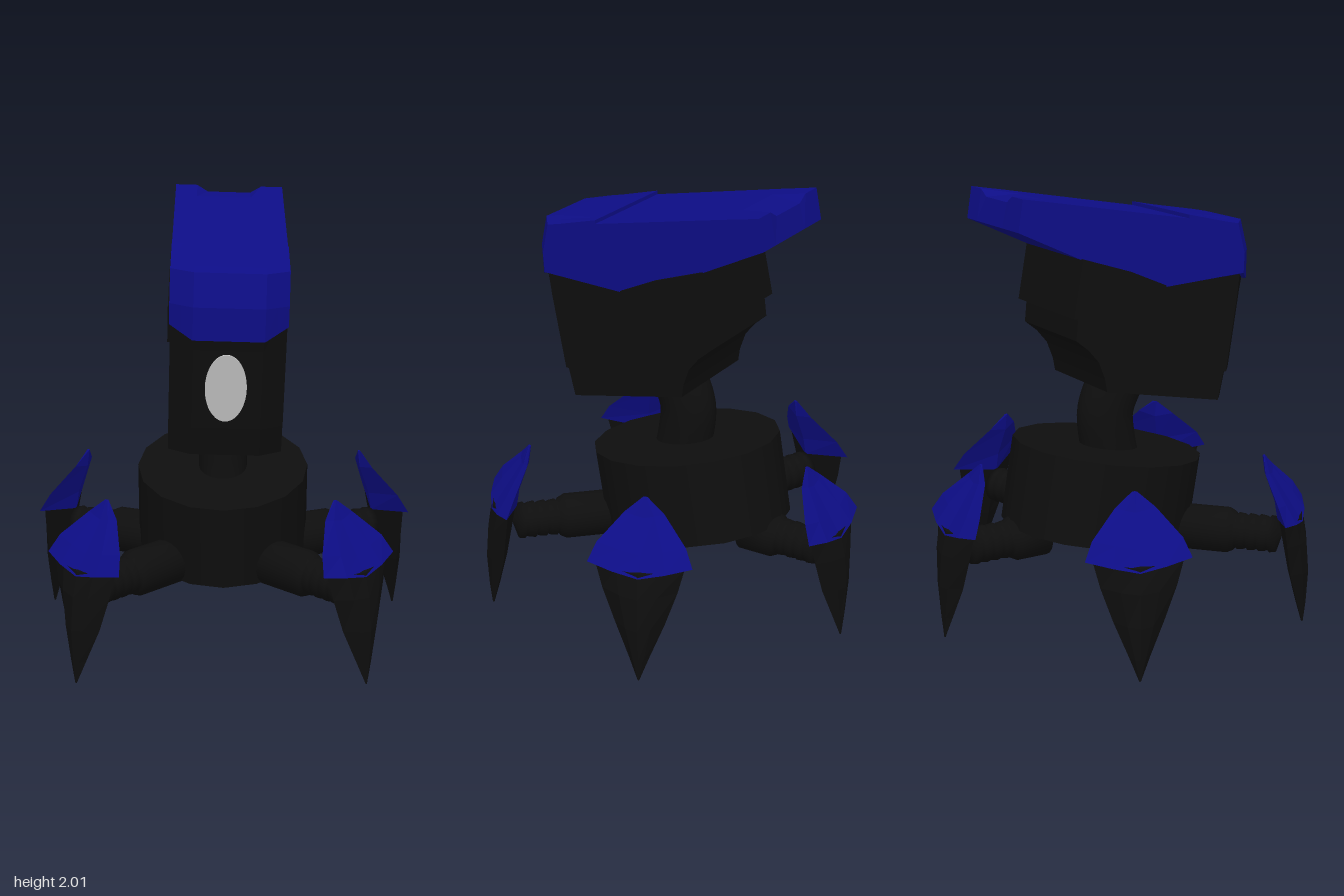
import * as THREE from 'three';

const black = new THREE.MeshStandardMaterial({ color: 0x0e0e0e });
const blue = new THREE.MeshStandardMaterial({ color: 0x0d0d86 });
const grey = new THREE.MeshStandardMaterial({ color: 0xc4c4c4 });
black.name = 'black';
blue.name = 'deep blue';
grey.name = 'light grey';

function part(name, geometry, material) {
  const mesh = new THREE.Mesh(geometry, material);
  mesh.name = name;
  return mesh;
}

// Side profile of [z, y] points, extruded across x; rule(v) may move each vertex
function slab(profile, halfWidth, steps, rule) {
  const shape = new THREE.Shape(profile.map(([z, y]) => new THREE.Vector2(z, y)));
  const g = new THREE.ExtrudeGeometry(shape, { depth: halfWidth * 2, steps, bevelEnabled: false });
  g.translate(0, 0, -halfWidth).rotateY(-Math.PI / 2);
  if (rule) {
    const p = g.attributes.position;
    const v = new THREE.Vector3();
    for (let i = 0; i < p.count; i++) {
      v.fromBufferAttribute(p, i);
      rule(v);
      p.setXYZ(i, v.x, v.y, v.z);
    }
  }
  g.computeVertexNormals();
  return g;
}

// Skin over six-sided sections [y, halfWidth, edgeZ, outerZ, innerZ], lowest first; bow raises the edges
function shell(sections, bow) {
  const pos = [];
  const index = [];
  const n = 6;
  for (const [y, w, e, o, i] of sections) {
    const m = e + (o - e) * 0.75;
    const ring = [[-w, e], [-w / 2, m], [0, o], [w / 2, m], [w, e], [0, i]];
    for (const [x, z] of ring) pos.push(x, y + bow * Math.abs(x), z);
  }
  const last = (sections.length - 1) * n;
  for (let r = 0; r < last; r += n) {
    for (let j = 0; j < n; j++) {
      const k = (j + 1) % n;
      index.push(r + j, r + k, r + n + k, r + j, r + n + k, r + n + j);
    }
  }
  for (let j = 1; j < n - 1; j++) {
    index.push(0, j + 1, j, last, last + j, last + j + 1);
  }
  const g = new THREE.BufferGeometry();
  g.setAttribute('position', new THREE.Float32BufferAttribute(pos, 3));
  g.setIndex(index);
  const flat = g.toNonIndexed();
  flat.computeVertexNormals();
  return flat;
}

// Front corners are cut back towards the sides
function chamfer(v) {
  const side = Math.max(0, Math.abs(v.x) - 0.15);
  if (v.z > 0.5) {
    v.z -= side * 0.8;
    if (v.y > 1.5 && v.y < 1.56) v.y += side * 0.5;
  }
}

function createHead() {
  const head = new THREE.Group();
  head.name = 'head';

  const skull = [
    [0.66, 1.54], [0.645, 1.47], [0.585, 1.12], [0.57, 1.12], [0.54, 0.99], [-0.12, 1.11],
    [-0.13, 1.17], [-0.16, 1.25], [-0.21, 1.31], [-0.27, 1.36], [-0.26, 1.45],
    [-0.22, 1.7], [0, 1.64], [0.18, 1.58],
  ];
  head.add(part('skull', slab(skull, 0.245, 10, chamfer), black));

  const panel = [[0.18, 1.56], [0.13, 1.385], [-0.29, 1.465], [-0.24, 1.72], [0, 1.64]];
  head.add(part('sidePanels', slab(panel, 0.264, 1), black));

  // Helmet with a raised brow and a shallow notch in the rear edge
  const helmet = [
    [0.68, 1.52], [0.685, 1.66], [0.65, 1.8], [0.58, 1.815], [0.31, 1.862], [0.31, 1.845],
    [-0.35, 1.97], [-0.515, 2.0], [-0.54, 1.86], [-0.24, 1.715], [0, 1.635],
    [0.18, 1.55], [0.57, 1.565],
  ];
  head.add(part('helmet', slab(helmet, 0.25, 10, (v) => {
    chamfer(v);
    if (v.z < -0.5 && v.y > 1.95 && Math.abs(v.x) < 0.12) v.y -= 0.03;
  }), blue));

  const eye = part('eye', new THREE.CylinderGeometry(1, 1, 0.008, 40).rotateX(Math.PI / 2), grey);
  eye.scale.set(0.088, 0.152, 1);
  eye.rotation.x = 0.17;
  eye.position.set(-0.005, 1.305, 0.62);
  head.add(eye);

  // Slight sideways lean
  head.rotation.z = -0.03;
  head.position.x = -0.036;
  return head;
}

// Leg local frame: +z points outward, origin under the claw's side corners
function createLeg(reach) {
  const leg = new THREE.Group();
  leg.add(part('claw', shell([
    [0, 0.004, 0.054, 0.058, 0.05],
    [0.1, 0.045, 0.035, 0.068, 0.02],
    [0.25, 0.11, 0.01, 0.075, -0.02],
    [0.4, 0.165, 0, 0.062, -0.05],
    [0.51, 0.195, -0.01, 0.035, -0.07],
  ], 0.1), black));
  leg.add(part('clawPlate', shell([
    [0.49, 0.23, 0, 0.042, -0.075],
    [0.575, 0.195, -0.04, -0.015, -0.09],
    [0.71, 0.088, -0.12, -0.105, -0.14],
    [0.79, 0.01, -0.145, -0.14, -0.152],
  ], 0.2), blue));

  // Arm: thick root, then ribbed bellows into the claw
  const outline = [[0, -reach], [0.105, -reach], [0.105, -0.3], [0.09, -0.27]];
  for (let i = 0; i < 4; i++) {
    const z = -0.27 + i * 0.05;
    outline.push([0.076, z + 0.008], [0.086, z + 0.016], [0.082, z + 0.045]);
  }
  outline.push([0, -0.05]);
  const points = outline.map(([r, z]) => new THREE.Vector2(r, z));
  const arm = part('arm', new THREE.LatheGeometry(points, 18).rotateX(Math.PI / 2), black);
  arm.position.y = 0.415;
  leg.add(arm);
  return leg;
}

export function createModel() {
  const model = new THREE.Group();
  model.name = 'walker';

  // Tilted oval drum
  const body = part('body', new THREE.CylinderGeometry(1, 1, 0.39, 16), black);
  body.scale.set(0.39, 1, 0.455);
  body.rotation.x = 0.165;
  body.position.set(-0.01, 0.595, -0.015);
  model.add(body);

  // Curved neck
  const path = new THREE.CatmullRomCurve3([
    new THREE.Vector3(0, 0.7, 0.04),
    new THREE.Vector3(0, 0.82, 0.015),
    new THREE.Vector3(0, 0.95, 0.005),
    new THREE.Vector3(0, 1.07, 0.05),
    new THREE.Vector3(0, 1.18, 0.13),
  ]);
  const neck = part('neck', new THREE.TubeGeometry(path, 20, 0.135, 18), black);
  neck.scale.x = 0.82;
  neck.position.x = -0.01;
  model.add(neck);

  model.add(createHead());

  // Five legs: name, x, z, heading in degrees from the front, arm length
  const legs = [
    ['frontLeftLeg', 0.57, 0.667, 45, 0.62],
    ['frontRightLeg', -0.615, 0.65, -45, 0.62],
    ['rearLeftLeg', 0.77, -0.24, 112.5, 0.58],
    ['rearRightLeg', -0.78, -0.27, -112.5, 0.58],
    ['backLeg', 0, -0.77, 180, 0.45],
  ];
  for (const [name, x, z, heading, reach] of legs) {
    const leg = createLeg(reach);
    leg.name = name;
    leg.position.set(x, 0, z);
    leg.rotation.y = THREE.MathUtils.degToRad(heading);
    model.add(leg);
  }
  return model;
}
